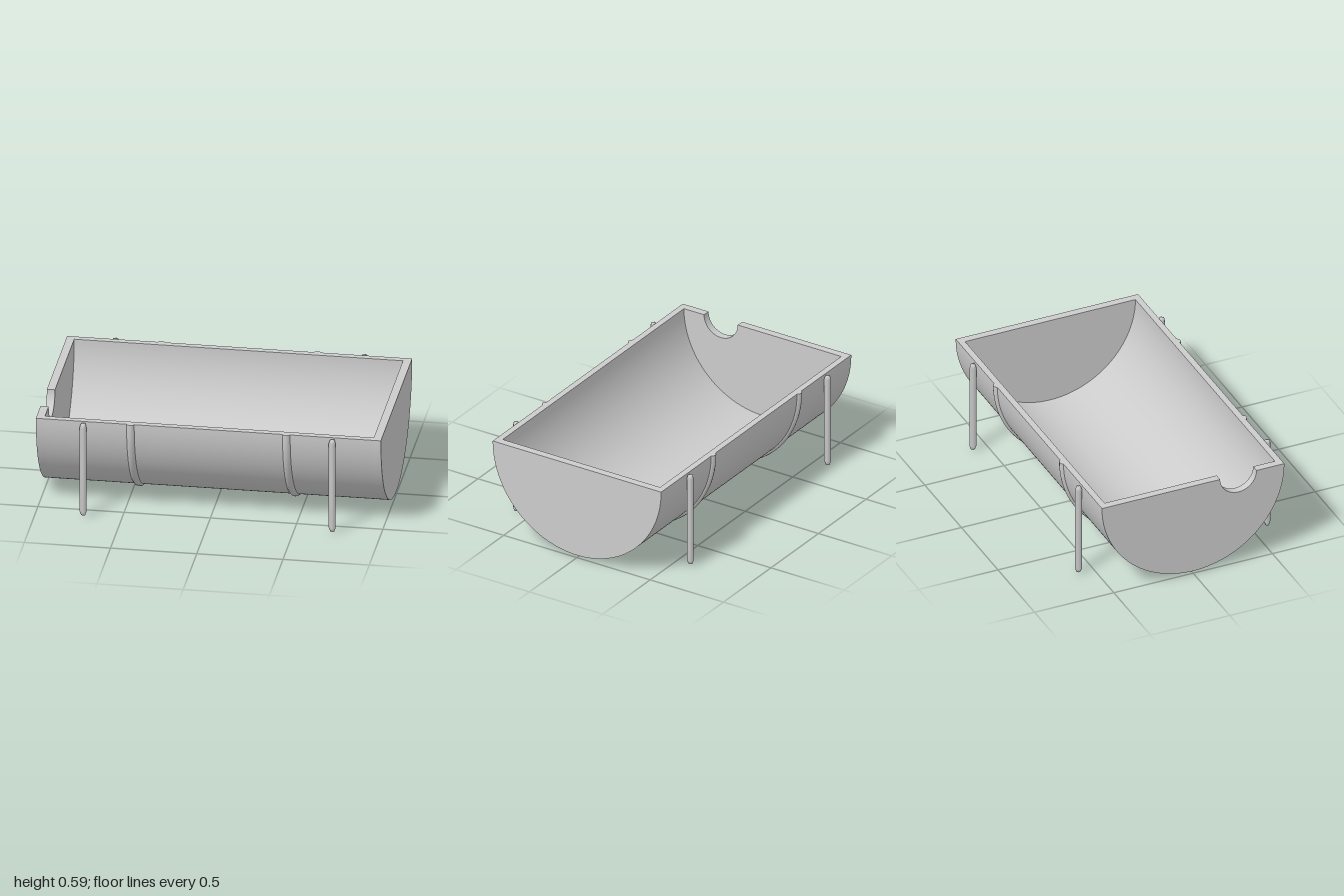
import * as THREE from 'three';
import { toCreasedNormals } from 'three/addons/utils/BufferGeometryUtils.js';

const RIM = 0.59;      // height of the open top
const OUTER = 0.575;
const INNER = 0.537;
const WALL = 0.047;    // end wall thickness

export function createModel() {
  const group = new THREE.Group();
  group.name = 'trough';
  const material = new THREE.MeshStandardMaterial({ color: 0xcccccc });

  const add = (name, geometry, x, y, z) => {
    const mesh = new THREE.Mesh(geometry, material);
    mesh.name = name;
    mesh.position.set(x, y, z);
    group.add(mesh);
    return mesh;
  };

  // Extrudes a cross-section along +x (shape x becomes -z)
  const extrudeAlongX = (shape, depth) => {
    const g = new THREE.ExtrudeGeometry(shape, { depth, bevelEnabled: false, curveSegments: 48 });
    g.rotateY(Math.PI / 2);
    return toCreasedNormals(g, 0.6);
  };

  // Half-pipe shell
  const ring = new THREE.Shape();
  ring.absarc(0, 0, OUTER, Math.PI, Math.PI * 2, false);
  ring.absarc(0, 0, INNER, Math.PI * 2, Math.PI, true);
  add('shell', extrudeAlongX(ring, 2 - 2 * WALL), -1 + WALL, RIM, 0);

  // Half-disc end walls, the right one with a round notch in its rim
  const endWall = (notched) => {
    const s = new THREE.Shape();
    s.absarc(0, 0, OUTER, Math.PI, Math.PI * 2, false);
    if (notched) s.absarc(-0.285, 0, 0.115, 0, Math.PI, true);
    s.closePath();
    return extrudeAlongX(s, WALL);
  };
  add('leftEndWall', endWall(false), 1 - WALL, RIM, 0);
  add('rightEndWall', endWall(true), -1, RIM, 0);

  // Raised bands around the underside, closed at the rim
  const bandR = 0.565, bandTube = 0.025;
  const bandGeometry = new THREE.TorusGeometry(bandR, bandTube, 12, 64, Math.PI);
  bandGeometry.rotateZ(Math.PI).rotateY(Math.PI / 2);
  const capGeometry = new THREE.CircleGeometry(bandTube, 12).rotateX(-Math.PI / 2);
  for (const x of [-0.452, 0.452]) {
    add('band', bandGeometry, x, RIM, 0);
    for (const side of [-1, 1]) add('bandEnd', capGeometry, x, RIM, side * bandR);
  }

  // Slim five-sided legs with tapered ends, a corner pointing outwards
  const legProfile = [
    [0, 0.01], [0.012, 0.011], [0.021, 0.035], [0.021, 0.562], [0.016, 0.583], [0, 0.589],
  ].map(([r, y]) => new THREE.Vector2(r, y));
  const legGeometry = new THREE.LatheGeometry(legProfile, 5);
  for (const x of [-0.722, 0.722]) {
    for (const side of [-1, 1]) {
      const leg = add(side > 0 ? 'frontLeg' : 'backLeg', legGeometry, x, 0, side * 0.595);
      if (side < 0) leg.rotation.y = Math.PI;
    }
  }

  return group;
}
